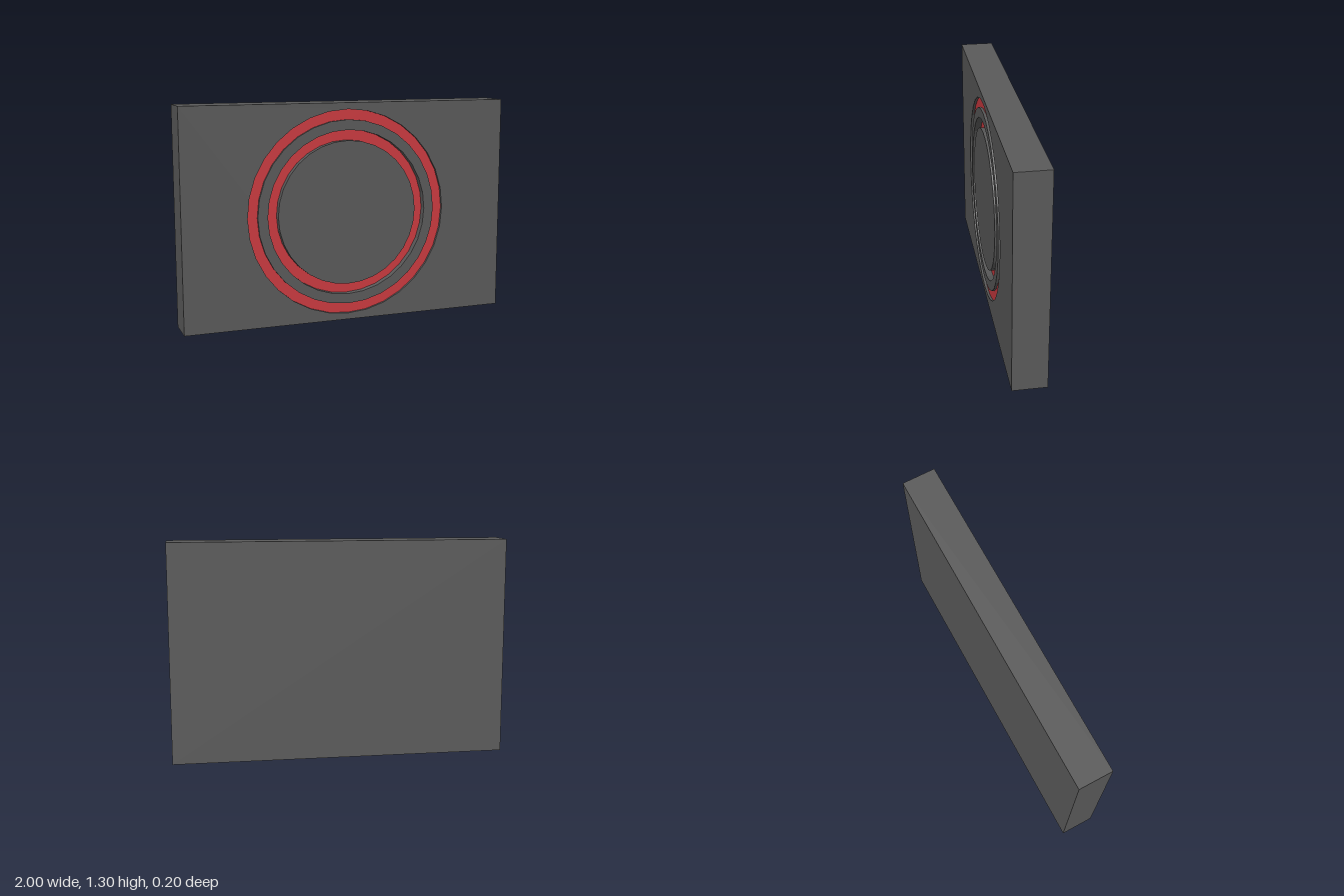
import * as THREE from 'three';

const W = 2, H = 1.3, D = 0.2, SEG = 32;
const FRONT = D / 2;
const CX = -0.007, CY = 0.65;
// ring-shaped recesses: outer radius, inner radius, depth
const GROOVES = [
  { name: 'outerRing', ro: 0.612, ri: 0.552, depth: 0.015 },
  { name: 'innerRing', ro: 0.492, ri: 0.43, depth: 0.04 },
];

export function createModel() {
  const group = new THREE.Group();
  const slabMat = new THREE.MeshStandardMaterial({ color: 0x5a5a5a, flatShading: true });
  const ringMat = new THREE.MeshStandardMaterial({ color: 0xcc3a40 });

  const add = (name, geometry, material, x = 0, y = 0, z = 0) => {
    const mesh = new THREE.Mesh(geometry, material);
    mesh.name = name;
    mesh.position.set(x, y, z);
    group.add(mesh);
    return mesh;
  };

  // slab body: a box whose front is left open for the recessed face
  const box = new THREE.BoxGeometry(W, H, D);
  const index = Array.from(box.index.array);
  index.splice(24, 6);
  box.setIndex(index);
  box.clearGroups();
  add('slabBody', box, slabMat, 0, H / 2, 0);

  // front face around the grooves
  const circle = (r) => new THREE.Path(Array.from({ length: SEG }, (_, i) => {
    const a = (i / SEG) * Math.PI * 2;
    return new THREE.Vector2(CX + r * Math.cos(a), CY + r * Math.sin(a));
  }));
  const face = new THREE.Shape([
    new THREE.Vector2(-W / 2, 0), new THREE.Vector2(W / 2, 0),
    new THREE.Vector2(W / 2, H), new THREE.Vector2(-W / 2, H),
  ]);
  face.holes.push(circle(GROOVES[0].ro));
  add('frontFace', new THREE.ShapeGeometry(face), slabMat, 0, 0, FRONT);

  // raised band between the grooves and the centre disc
  add('middleBand', new THREE.RingGeometry(GROOVES[1].ro, GROOVES[0].ri, SEG, 1), slabMat, CX, CY, FRONT);
  add('centreDisc', new THREE.CircleGeometry(GROOVES[1].ri, SEG), slabMat, CX, CY, FRONT);

  // wall of a groove, facing outward from or inward to the centre
  const wall = (name, r, depth, inward) => {
    const g = new THREE.CylinderGeometry(r, r, depth, SEG, 1, true);
    g.rotateX(Math.PI / 2);
    if (inward) {
      const idx = g.index.array;
      for (let i = 0; i < idx.length; i += 3) [idx[i], idx[i + 1]] = [idx[i + 1], idx[i]];
      g.computeVertexNormals();
    }
    add(name, g, slabMat, CX, CY, FRONT - depth / 2);
  };

  // grooves: red floor with an outer and an inner wall
  for (const { name, ro, ri, depth } of GROOVES) {
    add(name, new THREE.RingGeometry(ri, ro, SEG, 1), ringMat, CX, CY, FRONT - depth);
    wall(name + 'OuterWall', ro, depth, true);
    wall(name + 'InnerWall', ri, depth, false);
  }

  return group;
}
